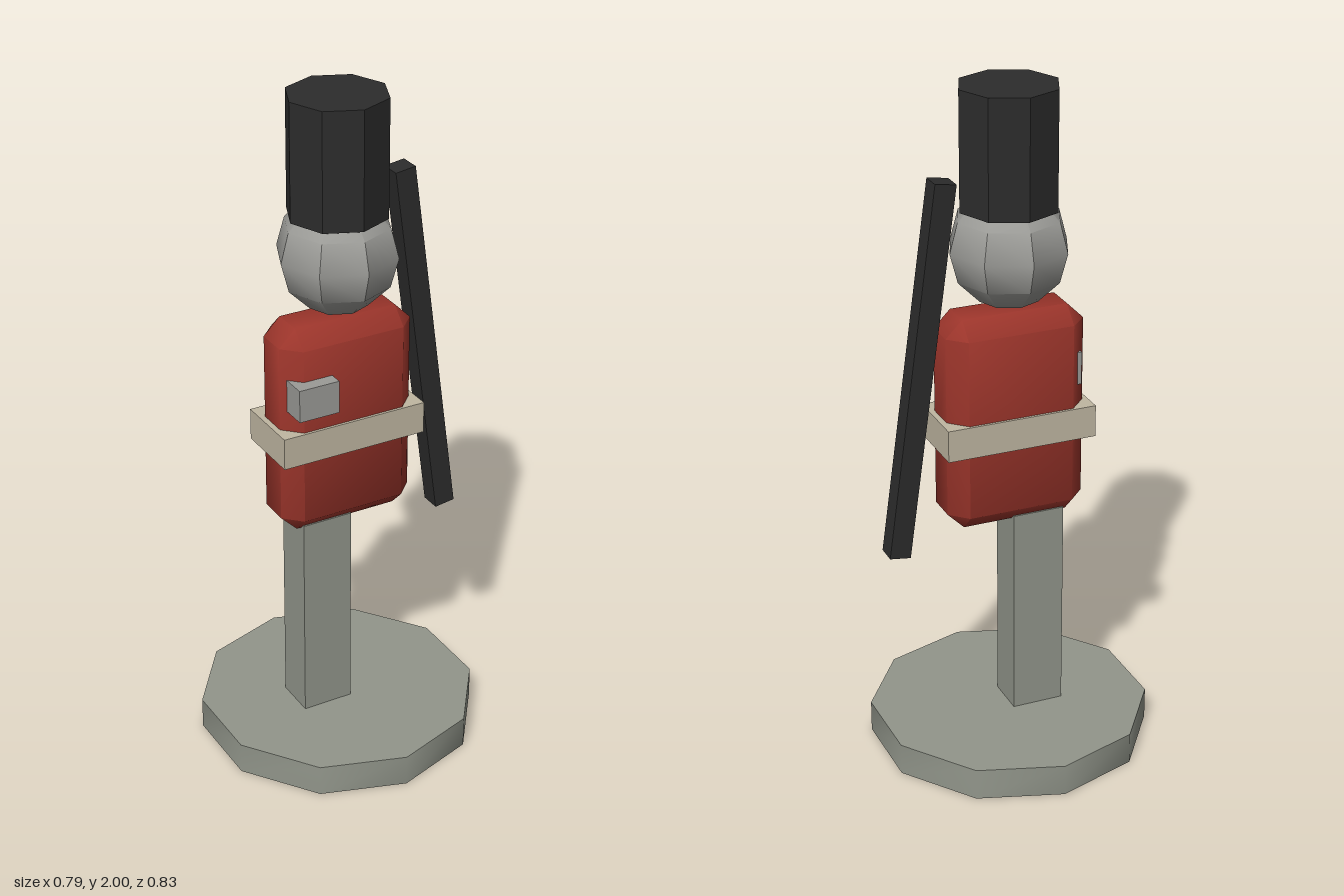
import * as THREE from 'three';
import { toCreasedNormals } from 'three/addons/utils/BufferGeometryUtils.js';
import { ConvexGeometry } from 'three/addons/geometries/ConvexGeometry.js';

const material = (name, color) => {
  const m = new THREE.MeshStandardMaterial({ color });
  m.name = name;
  return m;
};

// Box with every edge cut at 45 degrees
function chamferedBox(w, h, d, c) {
  const points = [];
  for (const x of [-w / 2, w / 2])
    for (const y of [-h / 2, h / 2])
      for (const z of [-d / 2, d / 2]) {
        const ix = x - Math.sign(x) * c, iy = y - Math.sign(y) * c, iz = z - Math.sign(z) * c;
        points.push(
          new THREE.Vector3(x, iy, iz),
          new THREE.Vector3(ix, y, iz),
          new THREE.Vector3(ix, iy, z)
        );
      }
  return toCreasedNormals(new ConvexGeometry(points), 0.9);
}

export function createModel() {
  const model = new THREE.Group();
  model.name = 'toySoldier';

  const stone = material('stoneGrey', 0x92968b);
  const pewter = material('pewterGrey', 0x9b9b97);
  const red = material('coatRed', 0x9c352b);
  const cream = material('beltCream', 0xc0b7a2);
  const black = material('black', 0x2c2c2c);

  const add = (name, geometry, mat, x, y, z) => {
    const mesh = new THREE.Mesh(geometry, mat);
    mesh.name = name;
    mesh.position.set(x, y, z);
    model.add(mesh);
    return mesh;
  };
  const crease = (geometry) => toCreasedNormals(geometry, 0.7);

  // Ten-sided stand and the single leg
  add('base', crease(new THREE.CylinderGeometry(0.415, 0.415, 0.095, 10)), stone, 0, 0.0475, 0);
  add('leg', new THREE.BoxGeometry(0.155, 0.645, 0.126), stone, -0.0675, 0.4125, 0);

  // Coat, belt and the short arm reaching forward
  add('coat', chamferedBox(0.416, 0.64, 0.19, 0.05), red, 0, 1.042, 0);
  add('belt', new THREE.BoxGeometry(0.45, 0.095, 0.206), cream, 0, 1.0125, 0);
  add('arm', new THREE.BoxGeometry(0.124, 0.098, 0.208), pewter, -0.131, 1.17, 0.031);

  // Head and tall hat
  add('head', crease(new THREE.SphereGeometry(0.175, 8, 6)), pewter, 0, 1.54, 0);
  add('hat', crease(new THREE.CylinderGeometry(0.145, 0.145, 0.345, 8)), black, 0, 1.8275, 0);

  // Musket leaning on the left shoulder
  const musket = add('musket', new THREE.BoxGeometry(0.063, 1.11, 0.063), black, 0.272, 1.203, 0);
  musket.rotation.z = 0.138;

  return model;
}
